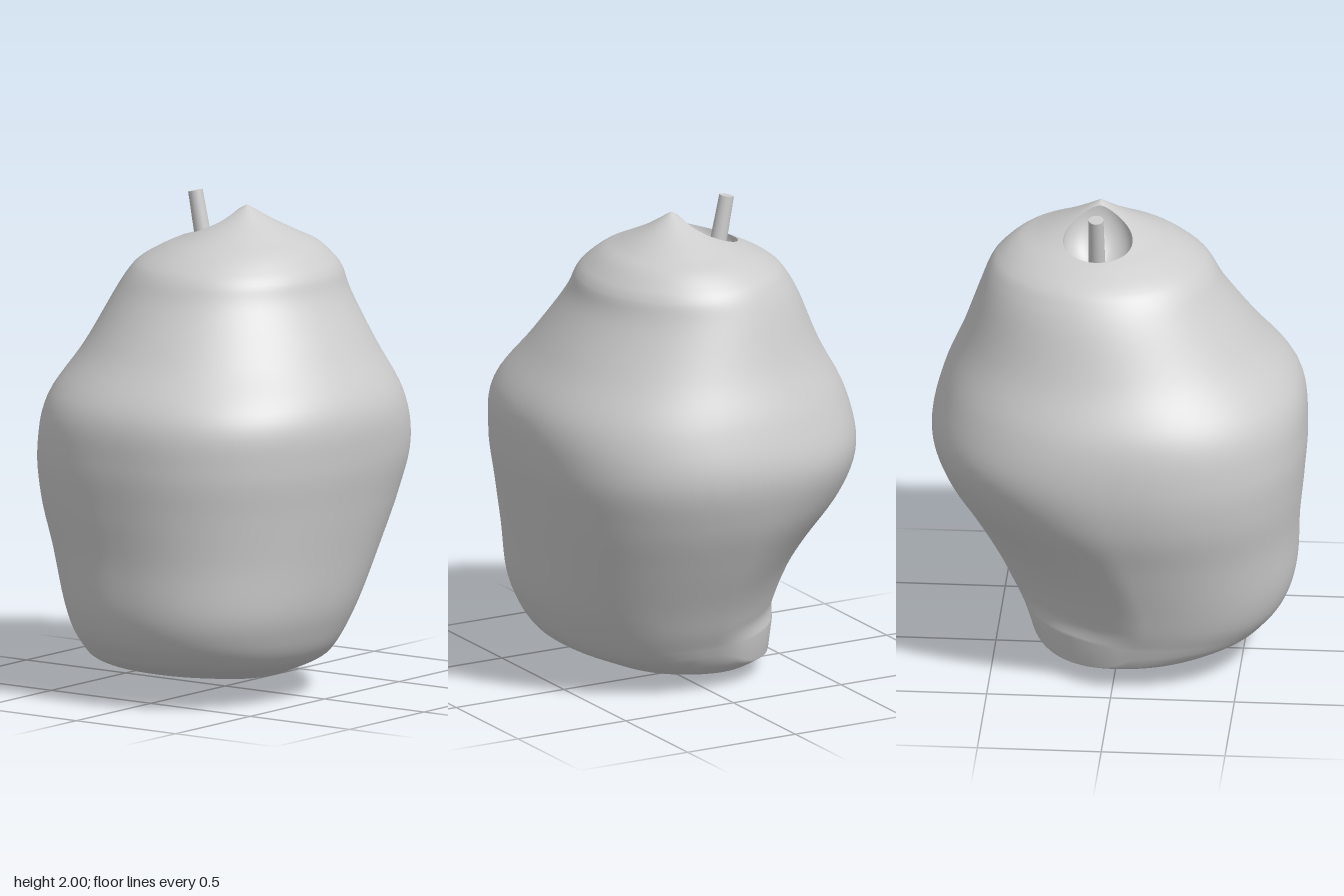
import * as THREE from 'three';

const { lerp, smoothstep } = THREE.MathUtils;
const SIDES = 144;

// Body sections: y, xMin, xMax, zMin, zMax
const SECTIONS = [
  [0, -0.2, -0.2, -0.08, -0.08],
  [0.025, -0.27, 0, -0.18, 0.03],
  [0.06, -0.35, 0.2, -0.265, 0.2],
  [0.1, -0.43, 0.32, -0.325, 0.4],
  [0.15, -0.455, 0.435, -0.36, 0.55],
  [0.2, -0.47, 0.49, -0.385, 0.62],
  [0.28, -0.5, 0.535, -0.43, 0.68],
  [0.4, -0.54, 0.58, -0.49, 0.715],
  [0.6, -0.61, 0.62, -0.6, 0.725],
  [0.8, -0.68, 0.66, -0.7, 0.745],
  [1, -0.705, 0.695, -0.755, 0.757],
  [1.2, -0.675, 0.69, -0.715, 0.73],
  [1.4, -0.57, 0.575, -0.635, 0.58],
  [1.6, -0.48, 0.455, -0.565, 0.44],
  [1.7, -0.42, 0.415, -0.525, 0.38],
  [1.75, -0.37, 0.375, -0.485, 0.33],
  [1.8, -0.28, 0.32, -0.42, 0.25],
  [1.84, -0.19, 0.25, -0.33, 0.16],
  [1.9, -0.07, 0.15, -0.2, 0.03],
  [1.965, 0.05, 0.05, -0.08, -0.08],
];
const LAST = SECTIONS.length - 1;
const LOW = 5, HIGH = 14; // sections where the end caps meet the sides

// Smooth section at a fractional index: height, centre and half widths
function section(u) {
  const i = Math.min(Math.floor(u), LAST - 1), t = u - i;
  const at = (k) => SECTIONS[Math.max(0, Math.min(LAST, k))];
  const [p, a, b, q] = [at(i - 1), at(i), at(i + 1), at(i + 2)];
  const [y, x0, x1, z0, z1] = a.map((v, k) => {
    const m0 = (b[k] - p[k]) / 2, m1 = (q[k] - v) / 2, d = b[k] - v;
    return v + t * (m0 + t * (3 * d - 2 * m0 - m1 + t * (m0 + m1 - 2 * d)));
  });
  return {
    y, x: (x0 + x1) / 2, z: (z0 + z1) / 2,
    a: Math.max((x1 - x0) / 2, 1e-5), b: Math.max((z1 - z0) / 2, 1e-5),
  };
}

// Radius in direction (c, s): squarish at the belly, cut away at the lower back right
function radius(sec, c, s) {
  const { y, a, b } = sec;
  let p = 2 + 0.3 * smoothstep(y, 0, 0.15) * (1 - smoothstep(y, 0.9, 1.6));
  if (c < 0 && s < 0) p -= 0.75 * smoothstep(y, 0.08, 0.28) * (1 - smoothstep(y, 0.45, 1.05));
  return Math.pow(Math.pow(Math.abs(c) / a, p) + Math.pow(Math.abs(s) / b, p), -1 / p);
}

const angle = (i) => (i / SIDES) * Math.PI * 2;

function ring(u) {
  const sec = section(u);
  return Array.from({ length: SIDES }, (_, i) => {
    const c = Math.cos(angle(i)), s = Math.sin(angle(i)), r = radius(sec, c, s);
    return [sec.x + r * c, sec.y, sec.z + r * s];
  });
}

// Height of an end cap at a point of the ground plane
function capHeight(x, z, tip, edge) {
  let out = tip, inn = edge;
  for (let k = 0; k < 22; k++) {
    const u = (out + inn) / 2, sec = section(u);
    const dx = x - sec.x, dz = z - sec.z, d = Math.hypot(dx, dz) || 1e-6;
    if (d > radius(sec, dx / d, dz / d)) out = u; else inn = u;
  }
  return section((out + inn) / 2).y;
}

// Rows of a cap from the rim of its hollow out to the sides
function capRows(hole, count) {
  const edge = ring(hole.edge);
  return Array.from({ length: count }, (_, j) => edge.map((e, i) => {
    const t = Math.pow(j / count, 1.3);
    const x = lerp(hole.x + hole.rx * Math.cos(angle(i)), e[0], t);
    const z = lerp(hole.z + hole.rz * Math.sin(angle(i)), e[2], t);
    return [x, capHeight(x, z, hole.tip, hole.edge), z];
  }));
}

// Rows of a rounded hollow from its rim to its deepest point
function hollowRows(hole, rim) {
  const mid = rim.reduce((sum, p) => sum + p[1], 0) / SIDES;
  return Array.from({ length: 21 }, (_, j) => {
    const f = (j / 20) * Math.PI / 2, s = Math.max(Math.cos(f), 1e-4);
    return rim.map(([x, y, z]) => [
      lerp(hole.x, x, s), lerp(mid, y, s) + hole.depth * Math.sin(f), lerp(hole.z, z, s),
    ]);
  });
}

// Skin over closed rows of points
function loft(rows) {
  const index = [];
  for (let j = 0; j < rows.length - 1; j++) {
    for (let i = 0; i < SIDES; i++) {
      const a = j * SIDES + i, b = j * SIDES + (i + 1) % SIDES;
      index.push(a, a + SIDES, b, b, a + SIDES, b + SIDES);
    }
  }
  const geo = new THREE.BufferGeometry();
  geo.setAttribute('position', new THREE.Float32BufferAttribute(rows.flat(2), 3));
  geo.setIndex(index);
  geo.computeVertexNormals();
  return geo;
}

export function createModel() {
  const group = new THREE.Group();
  const grey = new THREE.MeshStandardMaterial({ color: 0xcccccc });
  grey.name = 'light grey';
  const add = (name, geo) => {
    const mesh = new THREE.Mesh(geo, grey);
    mesh.name = name;
    group.add(mesh);
    return mesh;
  };

  const bottom = { x: 0, z: 0.19, rx: 0.18, rz: 0.18, depth: 0.12, tip: 0, edge: LOW };
  const top = { x: -0.11, z: -0.08, rx: 0.13, rz: 0.14, depth: -0.14, tip: LAST, edge: HIGH };

  // Fruit body: bottom cap, sides, top cap
  const lower = capRows(bottom, 28), upper = capRows(top, 44);
  const sides = Array.from({ length: 55 }, (_, j) => ring(lerp(LOW, HIGH, j / 54)));
  add('fruitBody', loft([...lower, ...sides, ...upper.slice().reverse()]));

  // Hollows at both ends
  add('bottomHollow', loft(hollowRows(bottom, lower[0]).reverse()));
  add('stemHollow', loft(hollowRows(top, upper[0])));

  // Leaning stem
  const from = new THREE.Vector3(-0.145, 1.68, -0.08), to = new THREE.Vector3(-0.21, 1.994, -0.08);
  const dir = to.clone().sub(from);
  const stem = add('stem', new THREE.CylinderGeometry(0.03, 0.036, dir.length(), 24));
  stem.position.copy(from).add(to).multiplyScalar(0.5);
  stem.quaternion.setFromUnitVectors(new THREE.Vector3(0, 1, 0), dir.normalize());

  return group;
}
